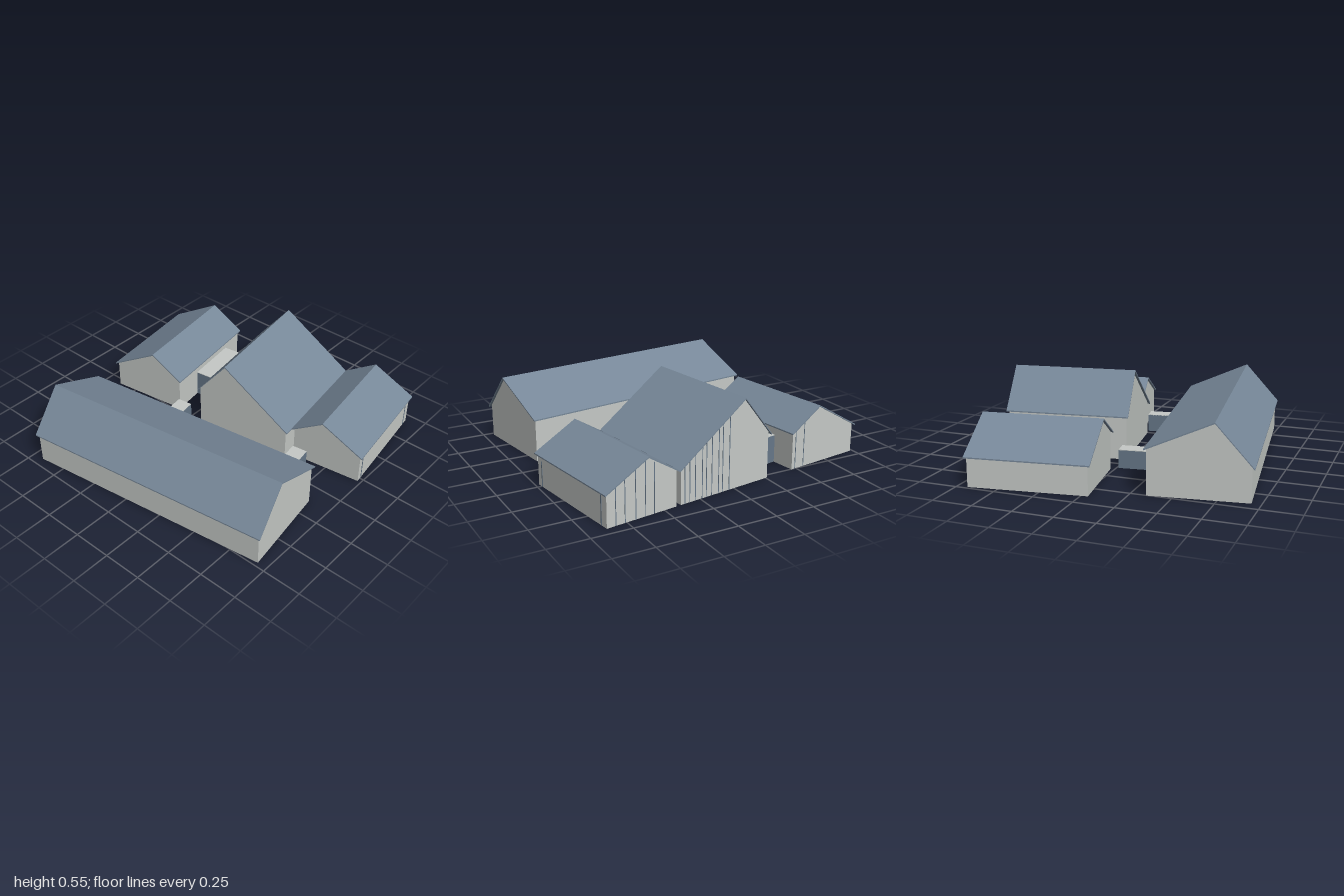
import * as THREE from 'three';

const wall = new THREE.MeshStandardMaterial({ name: 'pale wall', color: 0xc5c9c6, side: THREE.DoubleSide });
const roofMat = new THREE.MeshStandardMaterial({ name: 'slate roof', color: 0x778899, side: THREE.DoubleSide });
const glass = new THREE.MeshStandardMaterial({ name: 'blue glazing', color: 0x667788, side: THREE.DoubleSide });

const T = 0.008;      // roof thickness
const INSET = 0.015;  // walls set back under the roof edge

function add(parent, name, geometry, material, x = 0, y = 0, z = 0, ry = 0) {
  const mesh = new THREE.Mesh(geometry, material);
  mesh.name = name;
  mesh.position.set(x, y, z);
  mesh.rotation.y = ry;
  parent.add(mesh);
  return mesh;
}

const polygon = (pts) => new THREE.Shape(pts.map(([x, y]) => new THREE.Vector2(x, y)));

// Height of a two-slope roof [eave, ridge, eave] at position x
function roofHeight([a, r, b], x) {
  const [p, q] = x < r[0] ? [a, r] : [r, b];
  return p[1] + (q[1] - p[1]) * (x - p[0]) / (q[0] - p[0]);
}

// House with an uneven gable profile in x-y, running along z from z0 to z1; open underneath
function house(name, profile, z0, z1) {
  const g = new THREE.Group();
  g.name = name;
  const [a, r, b] = profile;
  const roof = new THREE.ExtrudeGeometry(
    polygon([a, [a[0], a[1] - T], [r[0], r[1] - T], [b[0], b[1] - T], b, r]),
    { depth: z1 - z0, bevelEnabled: false });
  add(g, 'roof', roof, roofMat, 0, 0, z0);

  const xa = a[0] + INSET, xb = b[0] - INSET;
  const ha = roofHeight(profile, xa) - T, hb = roofHeight(profile, xb) - T;
  const gable = new THREE.ShapeGeometry(
    polygon([[xa, 0], [xb, 0], [xb, hb], [r[0], r[1] - T], [xa, ha]]));
  add(g, 'gableWall', gable, wall, 0, 0, z1 - INSET);
  add(g, 'gableWall', gable, wall, 0, 0, z0 + INSET);

  const length = z1 - z0 - 2 * INSET, mid = (z0 + z1) / 2;
  add(g, 'sideWall', new THREE.PlaneGeometry(length, ha), wall, xa, ha / 2, mid, -Math.PI / 2);
  add(g, 'sideWall', new THREE.PlaneGeometry(length, hb), wall, xb, hb / 2, mid, Math.PI / 2);
  return g;
}

// Glazed link with a flat top; the glass runs along x or along z
function link(name, x0, x1, z0, z1, h, alongX) {
  const g = new THREE.Group();
  g.name = name;
  const w = x1 - x0, d = z1 - z0, cx = (x0 + x1) / 2, cz = (z0 + z1) / 2;
  add(g, 'flatRoof', new THREE.BoxGeometry(w, 0.004, d), wall, cx, h - 0.002, cz);
  for (const s of [-1, 1]) {
    if (alongX) {
      add(g, 'glassSide', new THREE.PlaneGeometry(w, h), glass, cx, h / 2, cz + s * d / 2, s < 0 ? Math.PI : 0);
    } else {
      add(g, 'glassSide', new THREE.PlaneGeometry(d, h), glass, cx + s * w / 2, h / 2, cz, s * Math.PI / 2);
    }
  }
  return g;
}

export function createModel() {
  const model = new THREE.Group();
  model.name = 'houseCluster';
  const site = new THREE.Group();
  site.name = 'site';
  site.rotation.y = 0.136; // the whole plan is slightly turned
  model.add(site);

  // Long house on the right, ridge front to back
  site.add(house('longHouse', [[-0.858, 0.205], [-0.631, 0.458], [-0.227, 0.28]], -0.809, 0.845));

  // Three cross houses, ridges left to right, with slit windows on the left gable
  const crossHouses = [
    { name: 'frontHouse', profile: [[0.519, 0.218], [0.731, 0.352], [1.013, 0.2]], x0: 0.069, x1: 0.827,
      slits: [0.685, 0.745, 0.81, 0.88, 0.94] },
    { name: 'middleHouse', profile: [[-0.165, 0.285], [0.047, 0.547], [0.517, 0.217]], x0: 0.011, x1: 0.827,
      slits: [0.15, 0.2, 0.23, 0.28, 0.32, 0.35, 0.4, 0.44, 0.475] },
    { name: 'backHouse', profile: [[-0.896, 0.187], [-0.566, 0.378], [-0.343, 0.24]], x0: 0.062, x1: 0.825,
      slits: [-0.454, -0.384] },
  ];
  for (const { name, profile, x0, x1, slits } of crossHouses) {
    const h = house(name, profile, -x1, -x0);
    h.rotation.y = -Math.PI / 2;
    site.add(h);
    for (const z of slits) {
      const height = roofHeight(profile, z) - T - 0.008;
      add(site, 'slitWindow', new THREE.BoxGeometry(0.003, height, 0.005), glass, x1 - INSET, height / 2, z);
    }
  }

  // Narrow windows on the front wall
  for (const [x, h] of [[0.126, 0.16], [0.76, 0.18]]) {
    add(site, 'frontWindow', new THREE.BoxGeometry(0.008, h, 0.004), glass, x, h / 2, 0.998);
  }

  // Low glazed links between the houses
  site.add(link('frontLink', -0.242, 0.032, 0.555, 0.655, 0.12, true));
  site.add(link('backLink', -0.242, 0.032, -0.333, -0.233, 0.12, true));
  site.add(link('sideLink', 0.289, 0.651, -0.358, -0.15, 0.18, false));

  return model;
}
